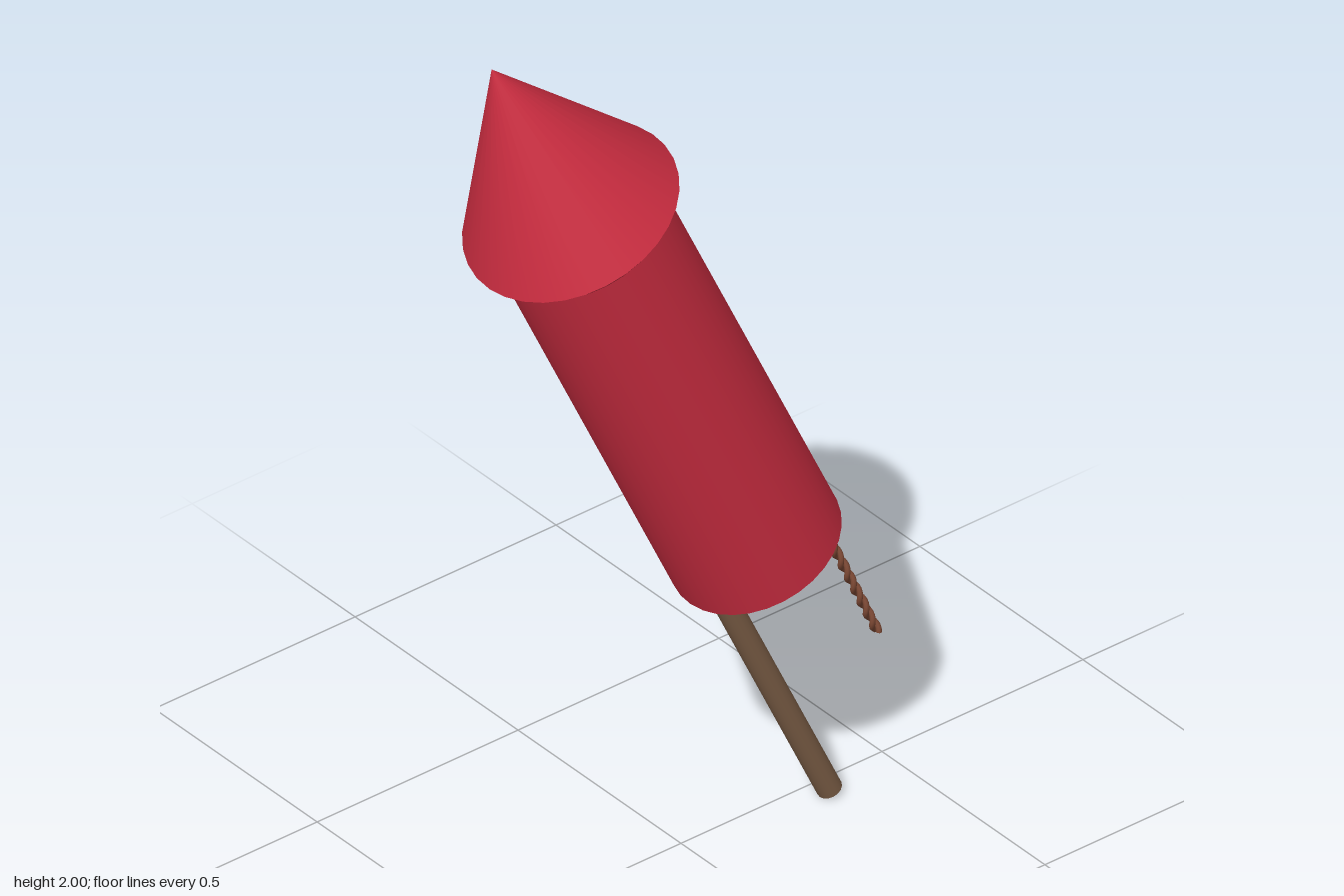
import * as THREE from 'three';

const SIDES = 32;
const RADIUS = 0.178;
const red = new THREE.MeshStandardMaterial({ color: 0xcf2e42 });
const wood = new THREE.MeshStandardMaterial({ color: 0x7d5f47 });
const cord = new THREE.MeshStandardMaterial({ color: 0x7f4a35 });

function addMesh(parent, name, geometry, material) {
  const mesh = new THREE.Mesh(geometry, material);
  mesh.name = name;
  parent.add(mesh);
  return mesh;
}

// One strand of the twisted fuse, winding around a straight line
class StrandCurve extends THREE.Curve {
  constructor(start, end, offset, turns, phase) {
    super();
    Object.assign(this, { start, end, offset, turns, phase });
  }
  getPoint(t, target = new THREE.Vector3()) {
    const a = this.phase + t * this.turns * Math.PI * 2;
    target.lerpVectors(this.start, this.end, t);
    target.x += Math.cos(a) * this.offset;
    target.z += Math.sin(a) * this.offset;
    return target;
  }
}

export function createModel() {
  const model = new THREE.Group();
  model.name = 'fireworkRocket';

  // Upright rocket, origin at the centre of the body's bottom
  const rocket = new THREE.Group();
  rocket.name = 'rocket';
  model.add(rocket);

  // Body tube
  addMesh(rocket, 'body', new THREE.CylinderGeometry(RADIUS, RADIUS, 1.01, SIDES), red)
    .position.y = 0.505;

  // Nose cone with a bevelled lip below its rim
  addMesh(rocket, 'noseCone', new THREE.ConeGeometry(0.224, 0.447, SIDES, 1, true), red)
    .position.y = 1.042 + 0.447 / 2;
  addMesh(rocket, 'noseLip', new THREE.CylinderGeometry(0.224, 0.187, 0.039, SIDES), red)
    .position.y = 1.0225;

  // Guide stick below the front of the body
  addMesh(rocket, 'stick', new THREE.CylinderGeometry(0.026, 0.026, 0.66, 16), wood)
    .position.set(0, -0.32, 0.113);

  // Twisted fuse below the back of the body
  const fuse = new THREE.Group();
  fuse.name = 'fuse';
  rocket.add(fuse);
  const start = new THREE.Vector3(-0.015, 0.01, -0.146);
  const end = new THREE.Vector3(-0.009, -0.43, -0.134);
  for (let i = 0; i < 2; i++) {
    const strand = new StrandCurve(start, end, 0.0055, 6, i * Math.PI);
    addMesh(fuse, 'fuseStrand', new THREE.TubeGeometry(strand, 96, 0.006, 8), cord);
    // Cut end of the strand
    const tip = addMesh(fuse, 'fuseEnd', new THREE.CircleGeometry(0.006, 8), cord);
    tip.position.copy(strand.getPoint(1));
    tip.rotation.x = Math.PI / 2;
  }

  // Lean the rocket forward
  const axis = new THREE.Vector3(-0.028, 0.908, 0.418).normalize();
  rocket.quaternion.setFromUnitVectors(new THREE.Vector3(0, 1, 0), axis);
  rocket.position.set(0.027, 0.648, -0.163);
  return model;
}
